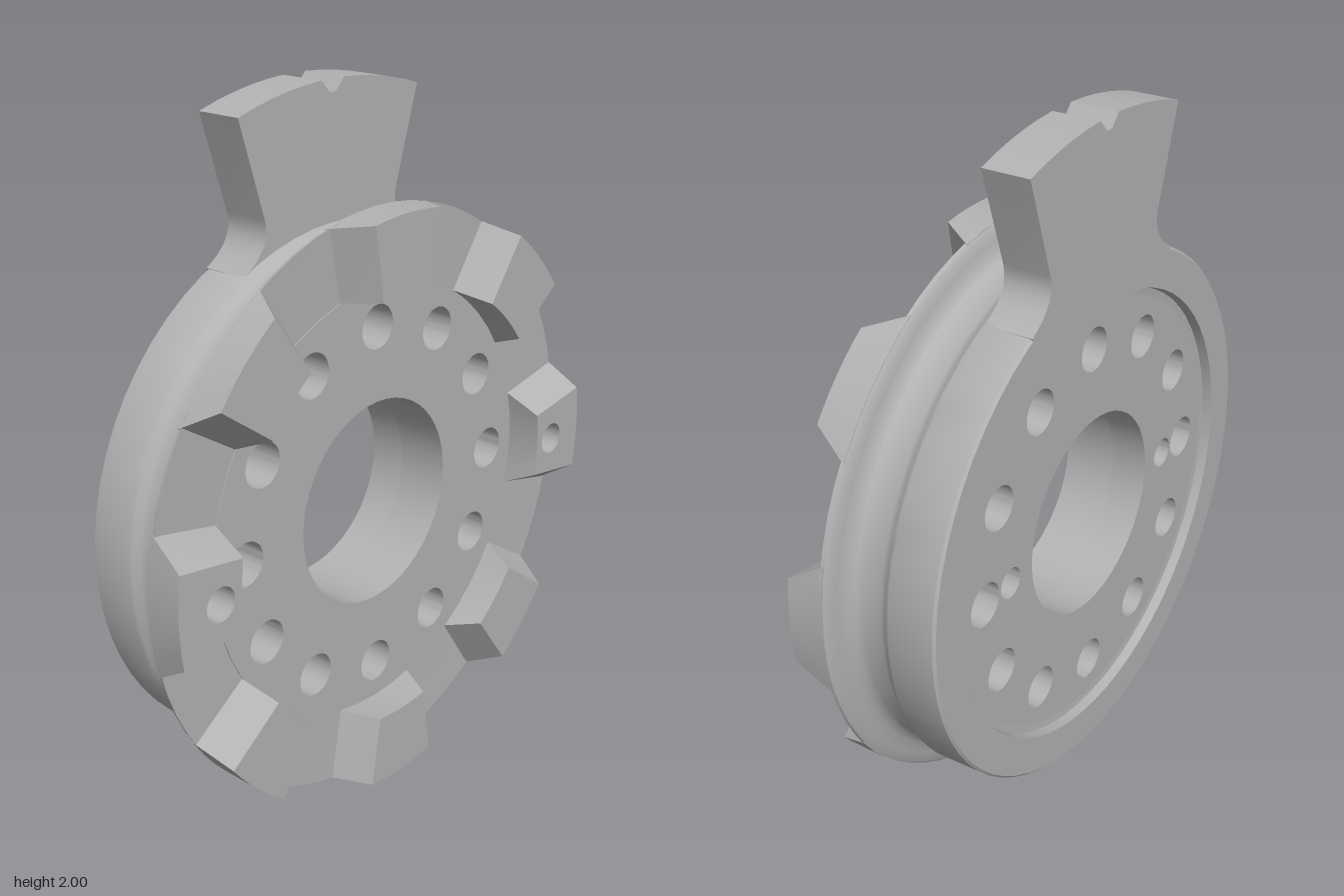
import * as THREE from 'three';
import { toCreasedNormals } from 'three/addons/utils/BufferGeometryUtils.js';

const AXIS_Y = 0.847;
const polar = (r, a) => [r * Math.sin(a), r * Math.cos(a)]; // angle measured from the top
const rad = THREE.MathUtils.degToRad;

function circlePath(x, y, r) {
  return new THREE.Path().absarc(x, y, r, 0, Math.PI * 2, true);
}

// Extrude a shape along the wheel axis, from x0 to x1
function slab(shape, x0, x1, curveSegments = 24) {
  const g = new THREE.ExtrudeGeometry(shape, { depth: x1 - x0, bevelEnabled: false, curveSegments });
  g.translate(0, 0, x0);
  return g;
}

export function createModel() {
  const steel = new THREE.MeshStandardMaterial({ color: 0xb2b2b2 });
  steel.name = 'steel grey';
  const model = new THREE.Group();
  model.name = 'toothedCouplingRing';

  const add = (name, geometry, crease = 0.6) => {
    const mesh = new THREE.Mesh(toCreasedNormals(geometry, crease), steel);
    mesh.name = name;
    mesh.position.y = AXIS_Y;
    model.add(mesh);
    return mesh;
  };

  // Rim with back flange, rounded groove and tooth seat: [radius, x]
  const profile = [
    [0.63, -0.17], [0.65, -0.172], [0.655, -0.2], [0.765, -0.2], [0.772, -0.193],
    [0.775, -0.06], [0.77, -0.05], [0.757, -0.035], [0.752, -0.02], [0.752, 0.035],
    [0.758, 0.055], [0.775, 0.069], [0.805, 0.077], [0.832, 0.082], [0.843, 0.09],
    [0.845, 0.1], [0.64, 0.093], [0.63, 0.093], [0.63, -0.17],
  ].map(([r, x]) => new THREE.Vector2(r, x));
  const rim = new THREE.LatheGeometry(profile, 64);
  rim.rotateZ(-Math.PI / 2);
  add('rim', rim);

  // Web: drilled disc in two layers, the back one also has two blind holes
  function webShape(withBlindHoles) {
    const s = new THREE.Shape().absarc(0, 0, 0.632, 0, Math.PI * 2, false);
    s.holes.push(circlePath(0, 0, 0.3));
    for (let i = 0; i < 12; i++) s.holes.push(circlePath(...polar(0.515, rad(i * 30)), 0.063));
    if (withBlindHoles) for (const side of [-1, 1]) s.holes.push(circlePath(side * 0.4, 0, 0.045));
    return s;
  }
  const webBack = slab(webShape(true), -0.17, -0.06);
  const webFront = slab(webShape(false), -0.06, 0.096);
  for (const g of [webBack, webFront]) g.rotateY(Math.PI / 2);
  add('webBack', webBack);
  add('webFront', webFront);

  // Eight dog teeth, flanks spreading towards the base; the two side ones are drilled
  const topHalf = rad(8.9), baseHalf = rad(13.7), inner = 0.633, outer = 0.845;
  for (let i = 0; i < 8; i++) {
    const s = new THREE.Shape();
    const n = 6;
    for (let k = 0; k <= n; k++) {
      const p = polar(outer, topHalf * (1 - 2 * k / n));
      if (k === 0) s.moveTo(...p); else s.lineTo(...p);
    }
    for (let k = 0; k <= n; k++) s.lineTo(...polar(inner, topHalf * (2 * k / n - 1)));
    s.closePath();
    const holeY = 0.705, holeR = 0.048;
    if (i % 4 === 2) s.holes.push(circlePath(0, holeY, holeR));
    const g = slab(s, 0.09, 0.2, 12);
    const pos = g.attributes.position;
    for (let v = 0; v < pos.count; v++) {
      const x = pos.getX(v), y = pos.getY(v);
      const onHole = Math.hypot(x, y - holeY) < holeR + 0.002;
      if (pos.getZ(v) > 0.1 || onHole) continue;
      const [nx, ny] = polar(Math.hypot(x, y), Math.atan2(x, y) * baseHalf / topHalf);
      pos.setXY(v, nx, ny);
    }
    g.rotateZ(rad(i * 45));
    g.rotateY(Math.PI / 2);
    add('tooth', g, 0.4);
  }

  // Index tab: radial sides, filleted foot, arched top with a notch
  const tabHalf = rad(17.4), foot = rad(26), R = 1.153;
  const tab = new THREE.Shape();
  tab.moveTo(...polar(0.7, -foot));
  tab.lineTo(...polar(0.7, foot));
  tab.lineTo(...polar(0.773, foot));
  tab.quadraticCurveTo(...polar(0.79, tabHalf), ...polar(0.87, tabHalf));
  for (let k = 0; k <= 5; k++) tab.lineTo(...polar(R, tabHalf + (rad(2.1) - tabHalf) * k / 5));
  tab.lineTo(0.012, R - 0.034);
  tab.lineTo(-0.012, R - 0.034);
  for (let k = 0; k <= 5; k++) tab.lineTo(...polar(R, -rad(2.1) - (tabHalf - rad(2.1)) * k / 5));
  tab.lineTo(...polar(0.87, -tabHalf));
  tab.quadraticCurveTo(...polar(0.79, -tabHalf), ...polar(0.773, -foot));
  tab.closePath();
  const tabGeo = slab(tab, -0.2, -0.062, 8);
  tabGeo.rotateY(Math.PI / 2);
  add('indexTab', tabGeo, 0.4);

  return model;
}
